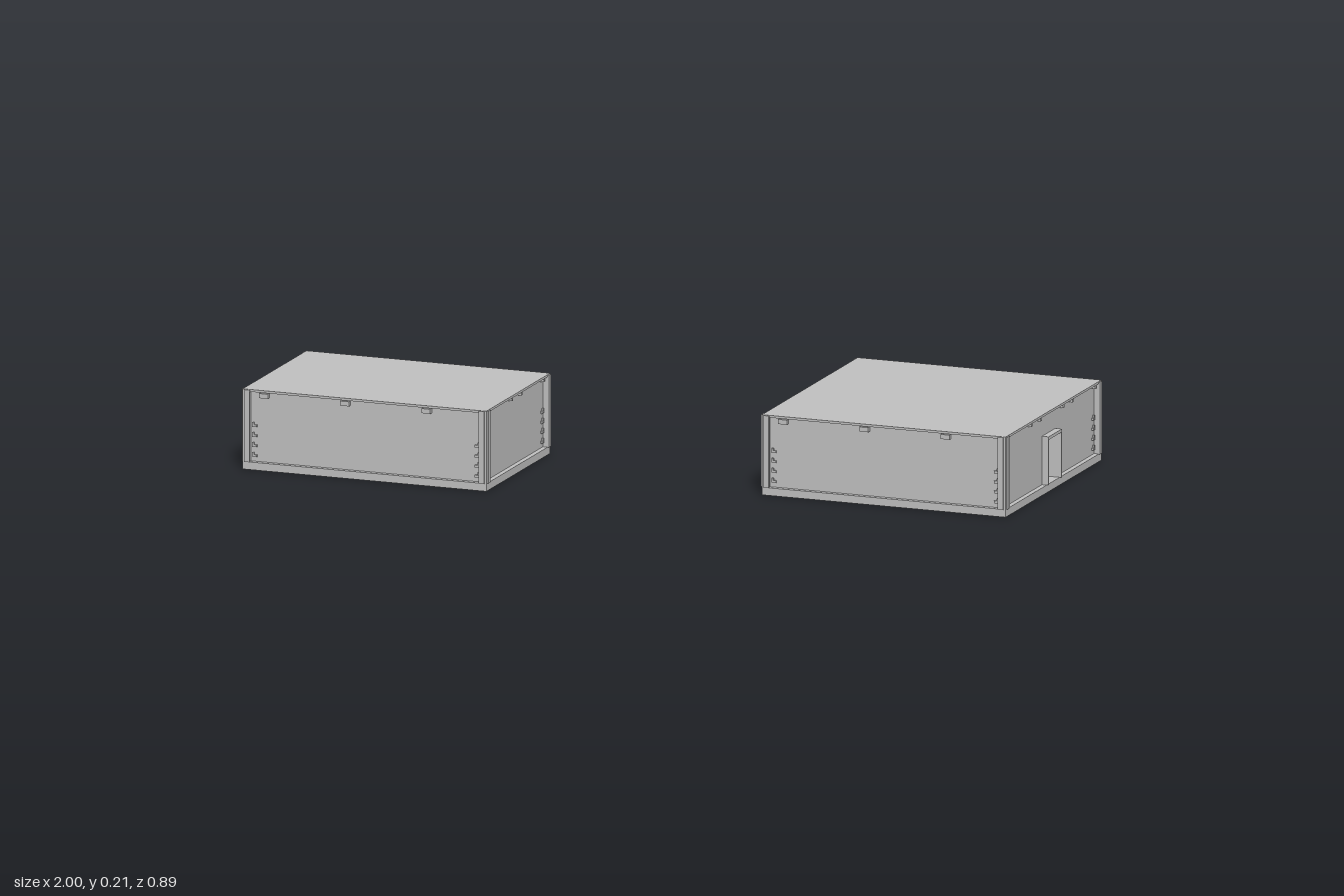
import * as THREE from 'three';

const M = 0.221;                 // width of one wall module
const FLOOR = 0.02, TOP = 0.203, ROOF = 0.209;
const INSET = 0.013, WALL = 0.012;
const DOOR_W = 0.087, DOOR_H = 0.118;

const grey = new THREE.MeshStandardMaterial({ color: 0xc0c0c0 });
grey.name = 'concrete grey';

function add(parent, name, geometry, x = 0, y = 0, z = 0) {
  const mesh = new THREE.Mesh(geometry, grey);
  mesh.name = name;
  mesh.position.set(x, y, z);
  parent.add(mesh);
  return mesh;
}
const box = (parent, name, w, h, d, x, y, z) =>
  add(parent, name, new THREE.BoxGeometry(w, h, d), x, y, z);

// One wall, facing local +z; its outer face lies at z = 0
function createWall(modules, { door, wideClips, lockers }) {
  const wall = new THREE.Group();
  wall.name = 'wall';
  const half = modules * M / 2 - INSET;
  const h = TOP - FLOOR;

  const shape = new THREE.Shape();
  shape.moveTo(-half, 0);
  if (door) {
    shape.lineTo(-DOOR_W / 2, 0);
    shape.lineTo(-DOOR_W / 2, DOOR_H);
    shape.lineTo(DOOR_W / 2, DOOR_H);
    shape.lineTo(DOOR_W / 2, 0);
  }
  shape.lineTo(half, 0);
  shape.lineTo(half, h);
  shape.lineTo(-half, h);
  add(wall, 'wallPanel', new THREE.ExtrudeGeometry(shape, { depth: WALL, bevelEnabled: false }), 0, FLOOR, -WALL);

  // Door frame standing proud of the wall on both sides
  if (door) {
    const d = 0.034, z = 0.001;
    for (const s of [-1, 1]) {
      box(wall, 'doorJamb', 0.003, DOOR_H, d, s * (DOOR_W / 2 + 0.0015), FLOOR + DOOR_H / 2, z);
    }
    box(wall, 'doorLintel', DOOR_W + 0.006, 0.008, d, 0, FLOOR + DOOR_H + 0.004, z);
  }

  // Clips under the roof edge
  for (let i = 0; i < modules; i++) {
    const c = (i - (modules - 1) / 2) * M;
    if (wideClips) {
      box(wall, 'roofClip', 0.024, 0.012, 0.012, c - 0.055, 0.194, 0.005);
    } else {
      for (const s of [-1, 1]) box(wall, 'roofClip', 0.008, 0.011, 0.011, c + s * 0.078, 0.199, 0.005);
    }
  }

  // Stepped brackets beside the corner posts
  for (const s of [-1, 1]) {
    if (lockers && s < 0) continue;
    for (let i = 0; i < 4; i++) {
      box(wall, 'cornerBracket', 0.012, 0.006, 0.006, s * (half - 0.016), 0.035 + i * 0.026, 0.002);
      box(wall, 'cornerBracketFoot', 0.005, 0.012, 0.005, s * (half - 0.012), 0.038 + i * 0.026, 0.002);
    }
  }

  // Stacked utility boxes
  if (lockers) {
    [[0.042, 0.022], [0.079, 0.028], [0.11, 0.03]].forEach(([y, bh]) =>
      box(wall, 'utilityBox', 0.022, bh, 0.005, -half + 0.016, y, 0.002));
  }
  return wall;
}

// A flat-roofed block of nx by nz modules, centred on its own origin
function createBuilding(name, nx, nz, doorsOnSides, lockers) {
  const building = new THREE.Group();
  building.name = name;
  const w = nx * M, d = nz * M;

  box(building, 'baseSlab', w, FLOOR, d, 0, FLOOR / 2, 0);
  box(building, 'roofSlab', w, ROOF - TOP, d, 0, (ROOF + TOP) / 2, 0);

  // Walls in order: front, left, back, right
  for (let i = 0; i < 4; i++) {
    const side = i % 2 === 1;
    const wall = createWall(side ? nz : nx, {
      door: doorsOnSides ? side : i === 2,
      wideClips: !side,
      lockers: lockers && i === 1,
    });
    const r = (side ? w : d) / 2 - INSET;
    const a = i * Math.PI / 2;
    wall.rotation.y = a;
    wall.position.set(Math.sin(a) * r, 0, Math.cos(a) * r);
    building.add(wall);
  }

  // Corner posts: a square core with two slim outer flanges
  for (const sx of [-1, 1]) for (const sz of [-1, 1]) {
    const x = sx * (w / 2 - 0.0085), z = sz * (d / 2 - 0.0085), h = ROOF - FLOOR - 0.001;
    const y = FLOOR + h / 2;
    box(building, 'cornerPost', 0.017, h, 0.017, x, y, z);
    box(building, 'postFlange', 0.015, h, 0.004, x - sx * 0.004, y, z + sz * 0.0105);
    box(building, 'postFlange', 0.004, h, 0.015, x + sx * 0.0105, y, z - sz * 0.004);
  }

  // Ceiling slats, parallel to the doorways
  const span = (doorsOnSides ? w : d) - 0.08;
  const length = (doorsOnSides ? d : w) - 0.06;
  const count = Math.round(span / 0.03);
  for (let i = 0; i <= count; i++) {
    const t = (i / count - 0.5) * span;
    if (doorsOnSides) box(building, 'ceilingSlat', 0.01, 0.012, length, t, TOP - 0.006, 0);
    else box(building, 'ceilingSlat', length, 0.012, 0.01, 0, TOP - 0.006, t);
  }
  return building;
}

export function createModel() {
  const model = new THREE.Group();
  model.name = 'twoBuildings';

  const small = createBuilding('smallBuilding', 3, 2, false, true);
  small.position.set(-0.6645, 0, M);
  const large = createBuilding('largeBuilding', 3, 3, true, false);
  large.position.set(0.6615, 0, -M / 2);

  model.add(small, large);
  return model;
}
